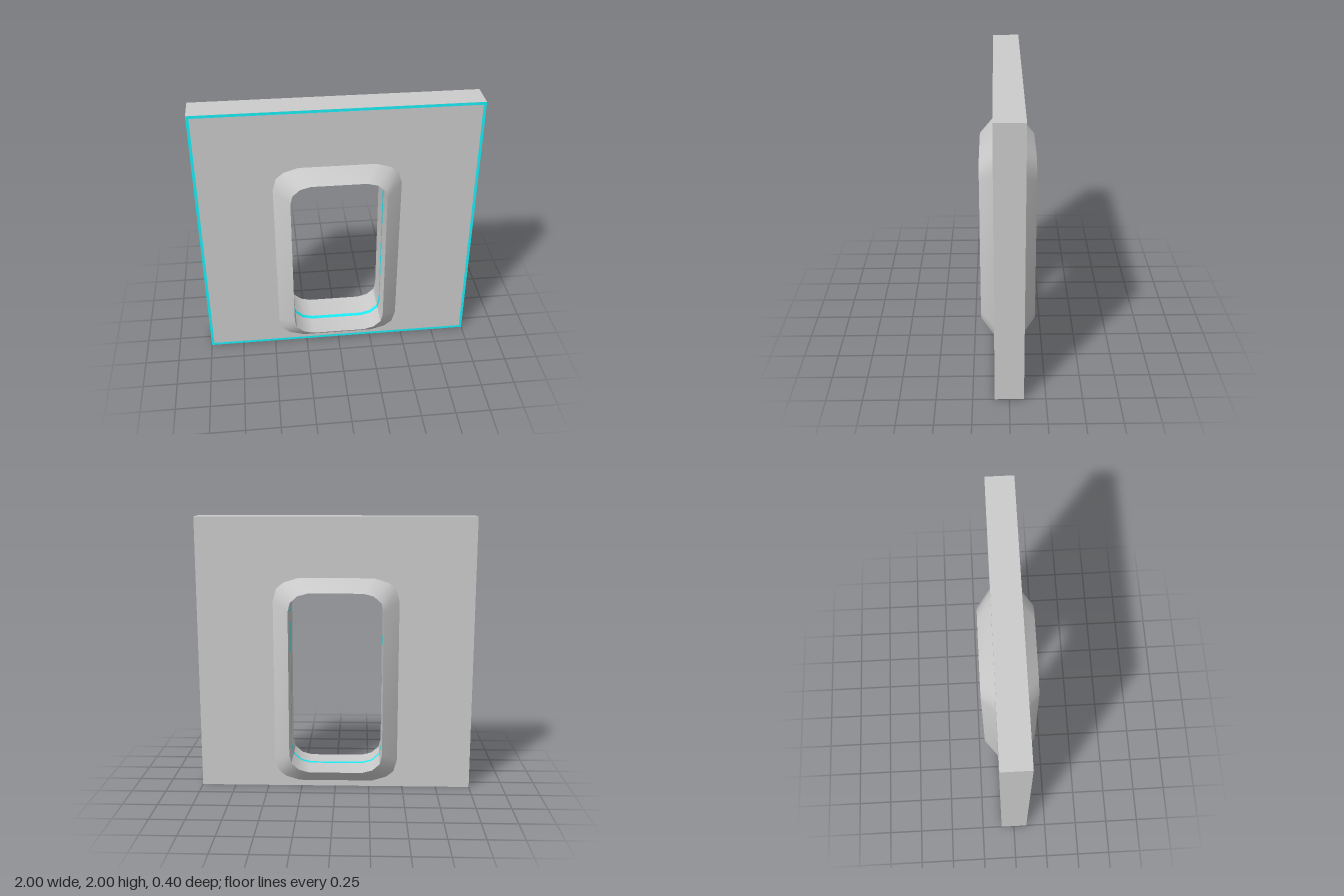
import * as THREE from 'three';
import { toCreasedNormals } from 'three/addons/utils/BufferGeometryUtils.js';

const GREY = new THREE.MeshStandardMaterial({ color: 0xcccccc });
const CYAN = new THREE.MeshStandardMaterial({ color: 0x18f0f8 });
const CX = -0.005, CY = 0.805; // centre of the doorway

// Counter-clockwise loop, mirrored from one corner given as offsets from the doorway centre
function cornerLoop(corner) {
  const back = [...corner].reverse();
  return [
    ...corner,
    ...back.map(([x, y]) => [-x, y]),
    ...corner.map(([x, y]) => [-x, -y]),
    ...back.map(([x, y]) => [x, -y]),
  ].map(([x, y]) => new THREE.Vector2(CX + x, CY + y));
}

const INNER = [[0.34, 0.53], [0.325, 0.595], [0.27, 0.645], [0.195, 0.665]];
const OUTER = [[0.455, 0.595], [0.43, 0.685], [0.375, 0.73], [0.27, 0.762]];
const inner = cornerLoop(INNER);
const outer = cornerLoop(OUTER);

// Joins pairs of loops, each [loopA, zA, loopB, zB], with bands of quads
function bands(pairs) {
  const pos = [];
  for (const [a, za, b, zb] of pairs) {
    for (let i = 0; i < a.length; i++) {
      const j = (i + 1) % a.length;
      const A = [a[i].x, a[i].y, za], B = [b[i].x, b[i].y, zb];
      const C = [b[j].x, b[j].y, zb], D = [a[j].x, a[j].y, za];
      pos.push(...A, ...B, ...C, ...A, ...C, ...D);
    }
  }
  const geo = new THREE.BufferGeometry();
  geo.setAttribute('position', new THREE.Float32BufferAttribute(pos, 3));
  return toCreasedNormals(geo, 0.6);
}

function rectangle(x, y0, y1, Type = THREE.Shape) {
  return new Type([[-x, y0], [x, y0], [x, y1], [-x, y1]].map((p) => new THREE.Vector2(...p)));
}

export function createModel() {
  const model = new THREE.Group();
  const add = (name, geometry, material) => {
    const mesh = new THREE.Mesh(geometry, material);
    mesh.name = name;
    model.add(mesh);
    return mesh;
  };

  // Wall panel, cut out along the outer edge of the frame
  const wall = rectangle(1, 0, 2);
  wall.holes.push(new THREE.Path([...outer].reverse()));
  const wallGeo = new THREE.ExtrudeGeometry(wall, { depth: 0.2, bevelEnabled: false });
  add('wall', wallGeo.translate(0, 0, -0.1), GREY);

  // Frame: sloped front and back rims joined by the passage lining
  add('doorFrame', bands([
    [inner, 0.2, outer, 0.1],
    [outer, -0.1, inner, -0.2],
    [inner, -0.2, inner, 0.2],
  ]), GREY);

  // Coloured line round the passage lining
  const line = cornerLoop(INNER.map(([x, y]) => [x - 0.002, y - 0.002]));
  add('passageStripe', bands([[line, 0.003, line, 0.035]]), CYAN);

  // Coloured border on the front of the wall
  const border = rectangle(1, 0, 2);
  border.holes.push(rectangle(0.98, 0.02, 1.98, THREE.Path));
  add('frontBorder', new THREE.ShapeGeometry(border), CYAN).position.z = 0.102;

  return model;
}
